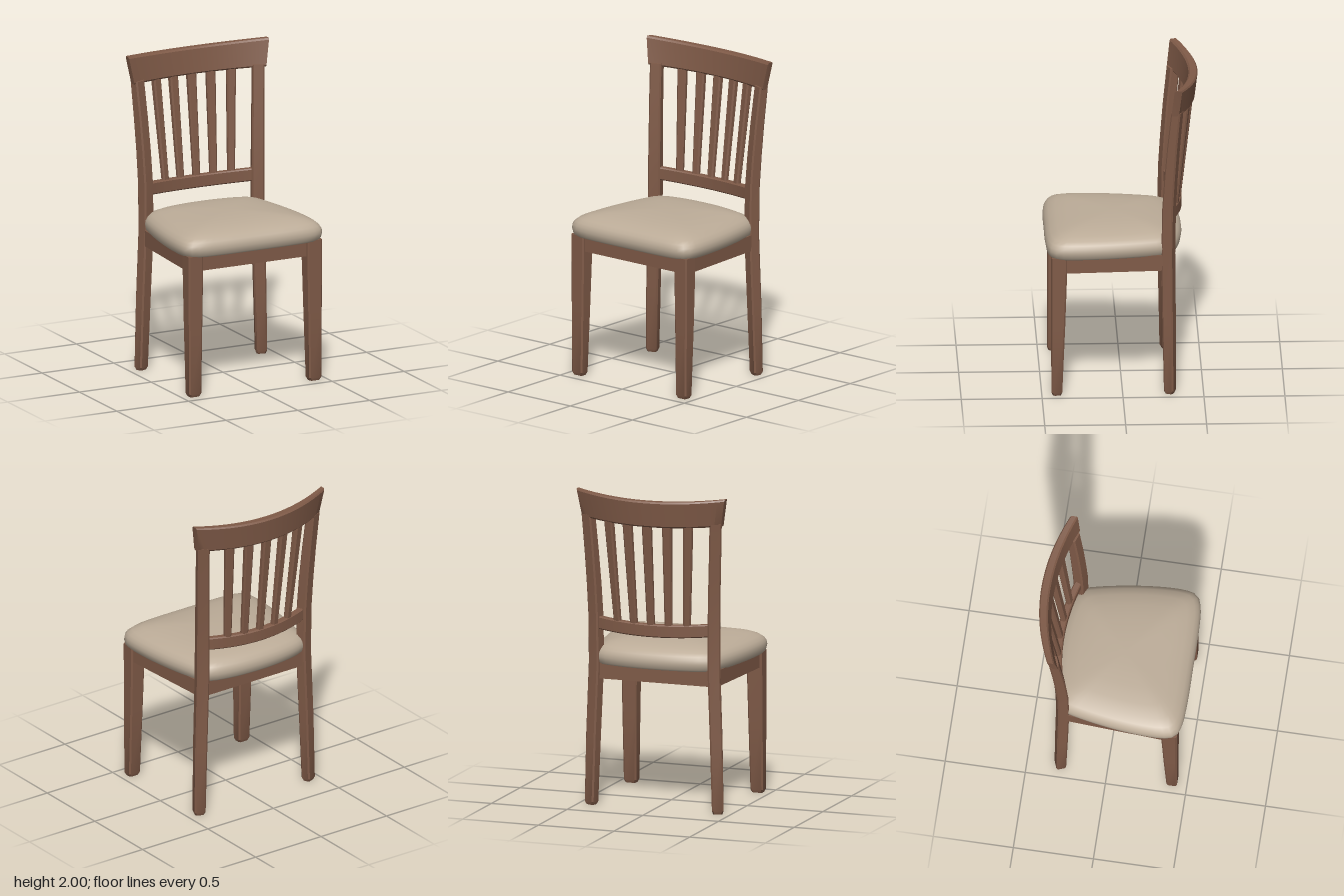
import * as THREE from 'three';
import { toCreasedNormals } from 'three/addons/utils/BufferGeometryUtils.js';

const wood = new THREE.MeshStandardMaterial({ color: 0x7f5a47 });
wood.name = 'brown wood';
const fabric = new THREE.MeshStandardMaterial({ color: 0xbcac98 });
fabric.name = 'beige fabric';

// Skin a list of rings (counter-clockwise about the sweep direction) and cap both ends.
function loft(rings, crease = 0.5) {
  const n = rings[0].length, pos = [], idx = [];
  rings.forEach(r => r.forEach(p => pos.push(...p)));
  for (let i = 0; i < rings.length - 1; i++) {
    for (let j = 0; j < n; j++) {
      const a = i * n + j, b = i * n + (j + 1) % n;
      idx.push(a, b, b + n, a, b + n, a + n);
    }
  }
  [0, rings.length - 1].forEach((ri, end) => {
    const r = rings[ri], c = pos.length / 3;
    pos.push(...[0, 1, 2].map(k => r.reduce((s, p) => s + p[k], 0) / n));
    for (let j = 0; j < n; j++) {
      const a = ri * n + j, b = ri * n + (j + 1) % n;
      if (end) idx.push(c, a, b); else idx.push(c, b, a);
    }
  });
  const g = new THREE.BufferGeometry();
  g.setAttribute('position', new THREE.Float32BufferAttribute(pos, 3));
  g.setIndex(idx);
  return toCreasedNormals(g, crease);
}

// Rectangle with chamfered corners, counter-clockwise.
function rect(w, d, c = 0.009) {
  const x = w / 2, y = d / 2;
  return [[x, -y + c], [x, y - c], [x - c, y], [-x + c, y], [-x, y - c], [-x, -y + c], [-x + c, -y], [x - c, -y]];
}

// Upright bar through rows of [y, x, z, width, depth], turned by an angle about y.
function upright(rows, angle = 0) {
  const c = Math.cos(angle), s = Math.sin(angle);
  return loft(rows.map(([y, x, z, w, d]) =>
    rect(w, d).map(([a, b]) => [x + a * c + b * s, y, z + a * s - b * c])));
}

// Bar across x: the point function receives t from -1 to 1 and a section corner.
function crossbar(section, point, steps = 24) {
  const rings = [];
  for (let i = 0; i <= steps; i++) {
    const t = (i / steps) * 2 - 1;
    rings.push(section.map(([a, b]) => point(t, a, b)));
  }
  return loft(rings);
}

export function createModel() {
  const model = new THREE.Group();
  model.name = 'diningChair';
  const add = (name, geometry, material = wood) => {
    const m = new THREE.Mesh(geometry, material);
    m.name = name;
    model.add(m);
    return m;
  };

  for (const s of [1, -1]) {
    const side = s > 0 ? 'left' : 'right';
    // Tapered front legs
    add(side + 'FrontLeg', upright([
      [0, s * 0.418, 0.407, 0.066, 0.05],
      [0.02, s * 0.418, 0.407, 0.084, 0.066],
      [0.45, s * 0.416, 0.398, 0.094, 0.084],
      [0.8, s * 0.414, 0.392, 0.102, 0.096],
      [0.9, s * 0.414, 0.392, 0.102, 0.096]]));

    // Back legs running up into the posts, turned to follow the curved back
    add(side + 'BackPost', upright([
      [0, 0.417, -0.293, 0.056, 0.046],
      [0.02, 0.417, -0.293, 0.072, 0.062],
      [0.45, 0.405, -0.288, 0.078, 0.068],
      [0.9, 0.388, -0.283, 0.08, 0.07],
      [1.2, 0.39, -0.288, 0.078, 0.07],
      [1.4, 0.397, -0.3, 0.077, 0.068],
      [1.6, 0.407, -0.315, 0.076, 0.065],
      [1.84, 0.42, -0.338, 0.076, 0.06]].map(([y, x, ...r]) => [y, s * x, ...r]), s * 0.35));

    // Side seat rails
    const rail = add(side + 'SeatRail', new THREE.BoxGeometry(0.045, 0.1, 0.64));
    rail.position.set(s * 0.412, 0.85, 0.05);
    rail.rotation.y = s * 0.06;
  }

  // Front and back seat rails
  add('frontSeatRail', new THREE.BoxGeometry(0.76, 0.1, 0.045)).position.set(0, 0.85, 0.4);
  add('backSeatRail', new THREE.BoxGeometry(0.74, 0.1, 0.045)).position.set(0, 0.85, -0.285);

  // Curved crest rail with flared ends
  add('crestRail', crossbar(rect(0.17, 0.06, 0.01), (t, a, b) => {
    const v = a / 0.17 + 0.5, f = b / 0.06 + 0.5, t2 = t * t;
    const front = -0.4 - 0.02 * v + 0.1 * t2, back = -0.457 - 0.02 * v + 0.11 * t2;
    return [
      t * (0.46 + 0.03 * v * v),
      THREE.MathUtils.lerp(1.81 + 0.015 * t2, 1.975 + 0.025 * t2, v),
      THREE.MathUtils.lerp(back, front, f)];
  }));

  // Curved lower back rail
  add('lowerBackRail', crossbar(rect(0.08, 0.045, 0.007), (t, a, b) =>
    [t * 0.375, 1.14 + 0.014 * t * t + a, -0.355 + 0.066 * t * t + b]));

  // Five slats fanning outward
  for (let i = -2; i <= 2; i++) {
    const xb = i * 0.114, xt = i * 0.131;
    add('backSlat', upright([
      [1.16, xb, -0.355 + 0.47 * xb * xb, 0.047, 0.034],
      [1.84, xt, -0.43 + 0.47 * xt * xt, 0.06, 0.042]], xt * 0.95));
  }

  // Domed seat cushion
  const half = [[0.25, 0.474], [0.4, 0.461], [0.465, 0.432], [0.486, 0.37], [0.49, 0.28], [0.48, 0.12],
    [0.455, -0.06], [0.422, -0.22], [0.4, -0.285], [0.35, -0.325], [0.2, -0.362]];
  const outline = [[0, 0.475], ...half, [0, -0.375], ...half.map(([x, z]) => [-x, z]).reverse()];
  const curve = new THREE.CatmullRomCurve3(outline.map(([x, z]) => new THREE.Vector3(x, 0, z)), true);
  const points = curve.getSpacedPoints(72).slice(0, 72);
  const layers = [[0.893, 0.96], [0.905, 0.985], [0.94, 1], [0.965, 0.992], [0.985, 0.967], [1.005, 0.92],
    [1.025, 0.82], [1.042, 0.66], [1.053, 0.45], [1.059, 0.2]];
  add('seatCushion', loft(layers.map(([y, k]) =>
    points.map(p => [p.x * k, y, 0.05 + (p.z - 0.05) * k])), 1.0), fabric);

  return model;
}
